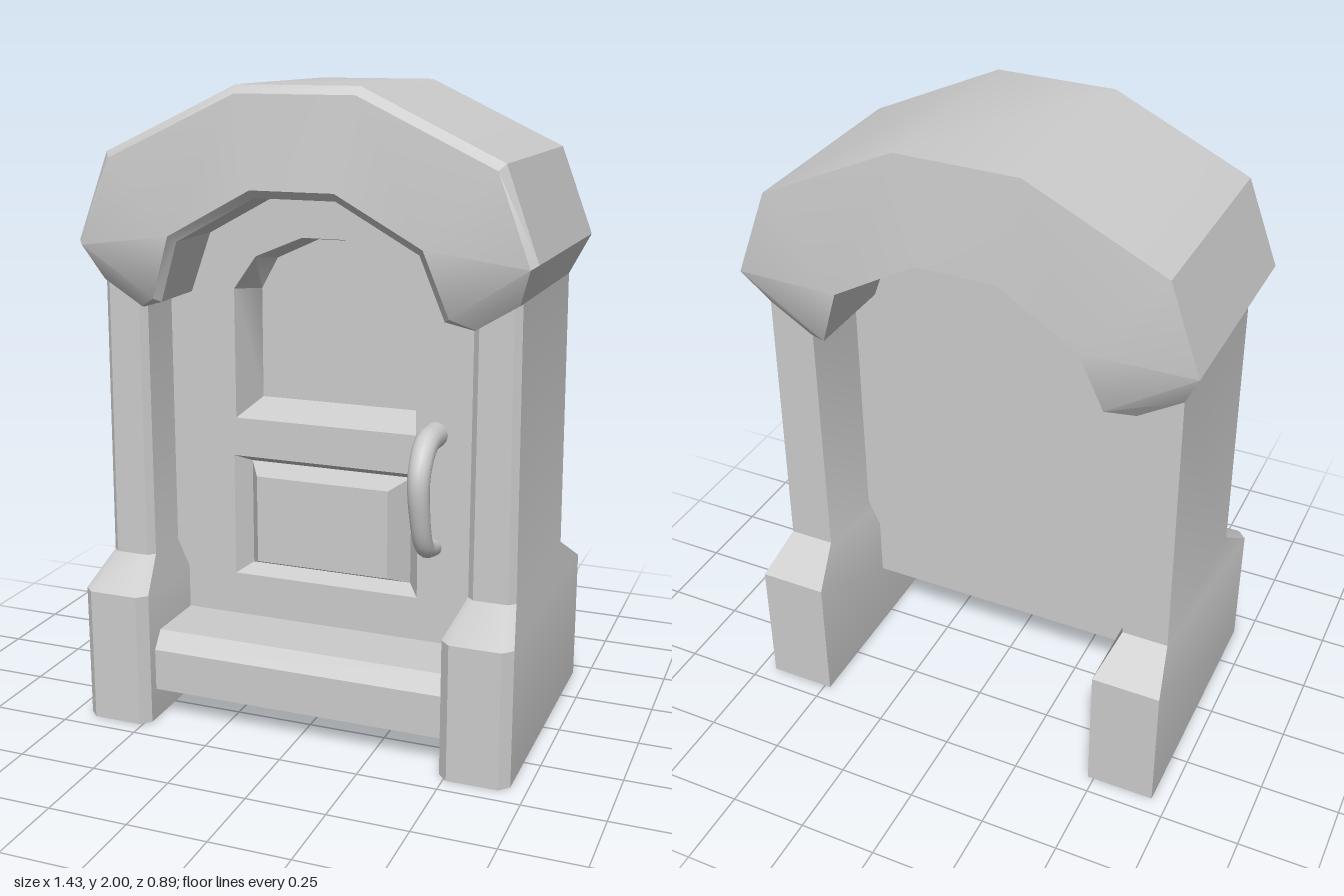
import * as THREE from 'three';
import { toCreasedNormals } from 'three/addons/utils/BufferGeometryUtils.js';

const grey = new THREE.MeshStandardMaterial({ color: 0xcccccc });
const greyOpen = new THREE.MeshStandardMaterial({ color: 0xcccccc, side: THREE.DoubleSide });

const dist = (a, b) => Math.hypot(a[0] - b[0], a[1] - b[1], a[2] - b[2]);

// Skin over rings of [x, y, z], each counter-clockwise seen from the travel direction.
// Quads split along their shorter diagonal; shallow edges are smoothed.
function loft(rings, capStart, capEnd) {
  const pos = [];
  const tri = (a, b, c) => pos.push(...a, ...b, ...c);
  const n = rings[0].length;
  for (let i = 0; i < rings.length - 1; i++) {
    for (let j = 0; j < n; j++) {
      const k = (j + 1) % n;
      const [a, b, c, d] = [rings[i][j], rings[i][k], rings[i + 1][k], rings[i + 1][j]];
      if (dist(a, c) < dist(b, d)) {
        tri(a, b, c);
        tri(a, c, d);
      } else {
        tri(a, b, d);
        tri(b, c, d);
      }
    }
  }
  const first = rings[0], last = rings[rings.length - 1];
  for (let j = 1; j < n - 1; j++) {
    if (capStart) tri(first[0], first[j + 1], first[j]);
    if (capEnd) tri(last[0], last[j], last[j + 1]);
  }
  const geo = new THREE.BufferGeometry();
  geo.setAttribute('position', new THREE.Float32BufferAttribute(pos, 3));
  return toCreasedNormals(geo, 0.55);
}

function add(parent, name, geo, material = grey) {
  const mesh = new THREE.Mesh(geo, material);
  mesh.name = name;
  parent.add(mesh);
  return mesh;
}

// Right half of an outline (bottom to top) completed by its mirror image
const mirrored = (half) => [...half, ...half.map(([x, y]) => [-x, y]).reverse()];
const toPath = (pts, Type) => new Type(pts.map(([x, y]) => new THREE.Vector2(x, y)));
const atZ = (pts, z) => pts.map(([x, y]) => [x, y, z]);
const rect = (w, y0, y1) => mirrored([[w, y0], [w, y1]]);

// Column with flared foot; section has chamfered front corners
function pillar(side) {
  const levels = [ // y, inner x, outer x, half depth, chamfer
    [0, 0.48, 0.698, 0.443, 0.03],
    [0.43, 0.48, 0.698, 0.443, 0.03],
    [0.52, 0.52, 0.667, 0.3, 0.02],
    [1.44, 0.52, 0.66, 0.3, 0.02],
  ];
  const rings = levels.map(([y, xi, xo, z, c]) => {
    const lo = Math.min(side * xi, side * xo), hi = Math.max(side * xi, side * xo);
    return [[hi - c, y, z], [hi, y, z - c], [hi, y, -z], [lo, y, -z], [lo, y, z - c], [lo + c, y, z]];
  });
  return loft(rings, false, true);
}

// Heavy hood swept over the doorway, chamfered along its front edges
function hood() {
  const half = [ // outer x,y / inner x,y / front z outer, inner / back z outer, inner / chamfer
    [0.66, 1.41, 0.53, 1.33, 0.3, 0.3, -0.3, -0.3, 0.005],
    [0.715, 1.53, 0.465, 1.365, 0.36, 0.35, -0.36, -0.355, 0.022],
    [0.615, 1.8, 0.395, 1.56, 0.355, 0.38, -0.35, -0.385, 0.025],
    [0.19, 2.0, 0.13, 1.705, 0.35, 0.375, -0.345, -0.366, 0.025],
  ];
  const section = ([ox, oy, ix, iy, fo, fi, bo, bi, c], s) => {
    const len = Math.hypot(ox - ix, oy - iy);
    const dx = (c * (ox - ix)) / len, dy = (c * (oy - iy)) / len;
    return [
      [s * ox, oy, bo], [s * ox, oy, fo - c], [s * (ox - dx), oy - dy, fo],
      [s * ix, iy, fi], [s * (ix - dx), iy - dy, fi - c], [s * (ix - dx), iy - dy, bi],
    ];
  };
  const rings = [...half.map((h) => section(h, -1)), ...[...half].reverse().map((h) => section(h, 1))];
  return loft(rings, true, true);
}

// Door leaf with a deep arched recess above and a raised panel below
function door() {
  const group = new THREE.Group();
  group.name = 'door';
  const back = -0.045, mid = -0.01, front = 0.125;
  const outline = mirrored([[0.54, 0.23], [0.54, 1.4], [0.43, 1.6], [0.15, 1.75]]);
  const upper = mirrored([[0.3, 0.955], [0.3, 1.37], [0.225, 1.475], [0.07, 1.54]]);
  const upperIn = mirrored([[0.26, 1.0], [0.26, 1.355], [0.205, 1.455], [0.065, 1.52]]);
  const lower = rect(0.31, 0.43, 0.83);

  const slab = new THREE.ExtrudeGeometry(toPath(outline, THREE.Shape), { depth: mid - back, bevelEnabled: false });
  add(group, 'doorBack', slab.translate(0, 0, back));
  const face = toPath(outline, THREE.Shape);
  face.holes.push(toPath(upper, THREE.Path), toPath(lower, THREE.Path));
  const frame = new THREE.ExtrudeGeometry(face, { depth: front - mid, bevelEnabled: false });
  add(group, 'doorFrame', frame.translate(0, 0, mid));
  add(group, 'upperPanel', loft([atZ(upper, front), atZ(upperIn, 0)], false, true));
  add(group, 'lowerPanel', loft([
    atZ(lower, front), atZ(rect(0.27, 0.455, 0.802), 0.07), atZ(rect(0.22, 0.49, 0.775), 0.15),
  ], false, true));
  return group;
}

// Bowed pull handle, thicker toward the top
function handle() {
  const group = new THREE.Group();
  group.name = 'handle';
  const pts = [[0.965, 0.11], [0.955, 0.22], [0.875, 0.28], [0.75, 0.268], [0.635, 0.215], [0.6, 0.11]];
  const curve = new THREE.CatmullRomCurve3(pts.map(([y, z]) => new THREE.Vector3(0.362, y, z)));
  const steps = 32, sides = 14, r = 0.04;
  const taper = (t) => 1 - 0.35 * t;
  const geo = new THREE.TubeGeometry(curve, steps, r, sides, false);
  const p = geo.attributes.position, v = new THREE.Vector3();
  for (let i = 0; i < p.count; i++) {
    const t = Math.floor(i / (sides + 1)) / steps;
    const c = curve.getPointAt(t);
    v.fromBufferAttribute(p, i).sub(c).multiplyScalar(taper(t)).add(c);
    p.setXYZ(i, v.x, v.y, v.z);
  }
  add(group, 'handleBar', geo);
  return group;
}

export function createModel() {
  const model = new THREE.Group();
  model.name = 'archedDoorway';
  add(model, 'leftPillar', pillar(1), greyOpen);
  add(model, 'rightPillar', pillar(-1), greyOpen);
  add(model, 'archHood', hood());
  model.add(door(), handle());

  // Doorstep with chamfered front edge
  const step = [[0.29, 0.09], [0.29, 0.34], [0.235, 0.38], [0.1, 0.38], [0.1, 0.09]];
  add(model, 'threshold', loft([-0.5, 0.5].map((x) => step.map(([y, z]) => [x, y, z])), true, true));
  return model;
}
